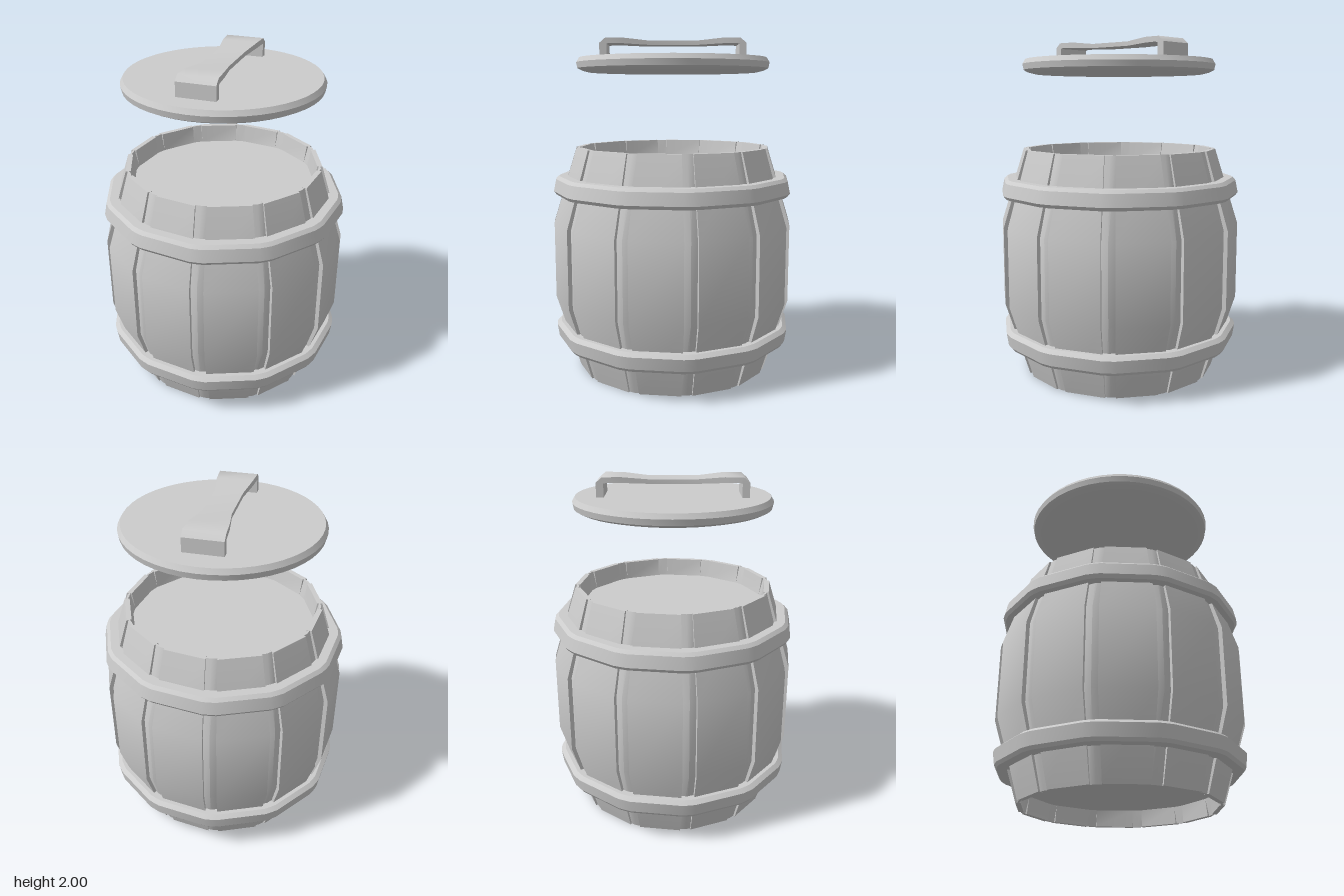
import * as THREE from 'three';
import { toCreasedNormals } from 'three/addons/utils/BufferGeometryUtils.js';

const STAVES = 12;
const material = new THREE.MeshStandardMaterial({ color: 0xcccccc, side: THREE.DoubleSide });

function addMesh(parent, geometry, name, crease = 0.44) {
  const mesh = new THREE.Mesh(toCreasedNormals(geometry, crease), material);
  mesh.name = name;
  parent.add(mesh);
  return mesh;
}

// Skins a list of closed rings that all have the same number of [x, y, z] points
function loft(rings) {
  const count = rings[0].length, index = [];
  for (let i = 0; i < rings.length - 1; i++) {
    for (let j = 0; j < count; j++) {
      const low = i * count, high = low + count, n = (j + 1) % count;
      index.push(low + j, low + n, high + n, low + j, high + n, high + j);
    }
  }
  const geometry = new THREE.BufferGeometry();
  geometry.setAttribute('position', new THREE.Float32BufferAttribute(rings.flat(2), 3));
  geometry.setIndex(index);
  return geometry;
}

// One ring around the barrel: flat staves, and at each corner a narrow gap
// sunk by depth, whose floor has a ridge in the middle.
function staveRing([r, y, depth = 0]) {
  const corner = [[-3.1, 0], [-3.05, 1], [0, 0.65], [3.05, 1], [3.1, 0]];
  const ring = [];
  for (let s = 0; s < STAVES; s++) {
    for (const [offset, sink] of corner) {
      const a = THREE.MathUtils.degToRad(s * 360 / STAVES + offset);
      const radius = r - depth * sink;
      ring.push([Math.sin(a) * radius, y, Math.cos(a) * radius]);
    }
  }
  return ring;
}

const staveLoft = (profile) => loft(profile.map(staveRing));

// Bent strap handle, narrowest in the middle; each section has an outer point,
// an inner point and a half width.
function handleGeometry() {
  const half = [
    [[0.14, 1.985], [0.14, 1.96], 0.081],
    [[0.29, 2.0], [0.29, 1.968], 0.105],
    [[0.395, 2.0], [0.37, 1.97], 0.112],
    [[0.43, 1.97], [0.388, 1.965], 0.112],
    [[0.43, 1.885], [0.388, 1.885], 0.112],
  ];
  const mirrored = half.map(([[so, yo], [si, yi], w]) => [[-so, yo], [-si, yi], w]).reverse();
  return loft([...mirrored, ...half].map(([[so, yo], [si, yi], w]) =>
    [[so, yo, -w], [so, yo, w], [si, yi, w], [si, yi, -w]]));
}

export function createModel() {
  const model = new THREE.Group();
  model.name = 'barrel';

  // Staves with gaps on both faces, thin rims and recessed ends
  addMesh(model, staveLoft([
    [0, 0.1], [0.545, 0.1], [0.555, 0, -0.01],
    [0.585, 0, 0.012], [0.727, 0.45, 0.025],
    [0.727, 0.91, 0.025], [0.585, 1.36, 0.012],
    [0.555, 1.36, -0.01], [0.54, 1.255], [0, 1.255],
  ]), 'staves');

  // Bevelled hoops, closed against the staves
  const hoop = [[0.61, 0], [0.7, 0], [0.714, 0.018], [0.725, 0.09], [0.7, 0.11], [0.645, 0.11]];
  addMesh(model, staveLoft(hoop.map(([r, y]) => [r, y + 0.18])), 'lowerHoop');
  const upperHoop = [[0.645, 1.08], [0.71, 1.08], [0.725, 1.1], [0.71, 1.172], [0.69, 1.19], [0.63, 1.19]];
  addMesh(model, staveLoft(upperHoop), 'upperHoop');

  // Lid raised above the barrel
  const lid = new THREE.Group();
  lid.name = 'lid';
  const lidProfile = [
    [0, 1.803], [0.505, 1.803], [0.545, 1.813], [0.57, 1.826],
    [0.577, 1.86], [0.56, 1.888], [0, 1.888],
  ];
  addMesh(lid, new THREE.LatheGeometry(lidProfile.map(([r, y]) => new THREE.Vector2(r, y)), 48), 'lidDisc', 0.6);
  addMesh(lid, handleGeometry(), 'lidHandle', 0.8).rotation.y = Math.PI / 8;
  model.add(lid);

  return model;
}
